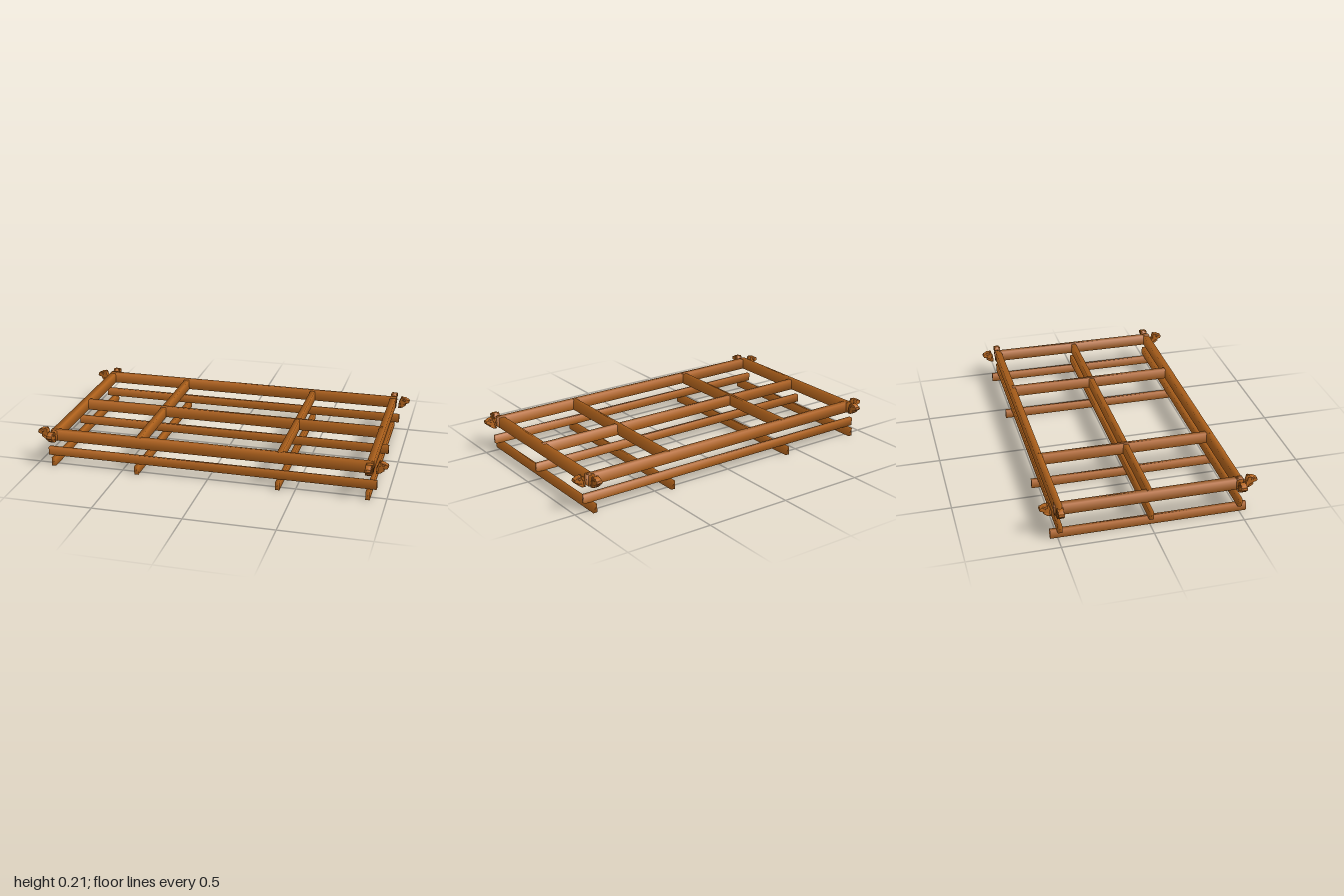
import * as THREE from 'three';
import { mergeVertices, toCreasedNormals } from 'three/addons/utils/BufferGeometryUtils.js';

const wood = new THREE.MeshStandardMaterial({ color: 0xb5651d });

// Box beam with normals shared across its corners for a soft, rounded shading
function beam(name, w, h, d, x, y, z) {
  const box = new THREE.BoxGeometry(w, h, d);
  box.deleteAttribute('normal');
  box.deleteAttribute('uv');
  const geo = mergeVertices(box);
  geo.computeVertexNormals();
  const mesh = new THREE.Mesh(geo, wood);
  mesh.name = name;
  mesh.position.set(x, y, z);
  return mesh;
}

// Side-profile slab: points are (outward, up), thickness is centred on z = offset
function slab(name, points, thickness, offset = 0) {
  const shape = new THREE.Shape(points.map(([x, y]) => new THREE.Vector2(x, y)));
  const bevel = 0.003;
  const geo = new THREE.ExtrudeGeometry(shape, {
    depth: thickness - 2 * bevel, bevelThickness: bevel, bevelSize: bevel,
    bevelOffset: -bevel, bevelSegments: 2,
  });
  geo.translate(0, 0, offset - thickness / 2 + bevel);
  const mesh = new THREE.Mesh(toCreasedNormals(geo, 0.7), wood);
  mesh.name = name;
  return mesh;
}

function knob(name, r, sx, sy, sz, x, y, z) {
  const mesh = new THREE.Mesh(new THREE.SphereGeometry(r, 10, 8), wood);
  mesh.name = name;
  mesh.scale.set(sx, sy, sz);
  mesh.position.set(x, y, z);
  return mesh;
}

// Carved animal head, snout towards +x, back of the neck at x = 0
function carvedHead() {
  const head = new THREE.Group();
  head.name = 'carvedHead';
  head.add(
    slab('skull', [[0, 0.145], [0.016, 0.145], [0.034, 0.157], [0.042, 0.17], [0.056, 0.18],
      [0.058, 0.198], [0.044, 0.209], [0.024, 0.211], [0.01, 0.2], [0.004, 0.18]], 0.03),
    slab('lowerJaw', [[0.012, 0.15], [0.024, 0.149], [0.044, 0.164], [0.042, 0.171], [0.024, 0.168]], 0.035),
    slab('upperLip', [[0.04, 0.176], [0.06, 0.178], [0.066, 0.188], [0.062, 0.199], [0.05, 0.202], [0.04, 0.194]], 0.034),
    slab('collar', [[0, 0.145], [0.008, 0.145], [0.013, 0.172], [0.009, 0.185], [0.003, 0.185]], 0.036),
  );
  for (const s of [-1, 1]) {
    head.add(
      slab('ear', [[0.006, 0.188], [0.016, 0.183], [0.026, 0.2], [0.022, 0.213], [0.012, 0.209]], 0.01, s * 0.014),
      knob('eye', 0.006, 1, 1, 0.7, 0.036, 0.195, s * 0.015),
      knob('brow', 0.008, 1.1, 0.6, 0.8, 0.036, 0.206, s * 0.011),
      knob('nostril', 0.005, 0.8, 0.8, 1, 0.06, 0.196, s * 0.009),
    );
  }
  return head;
}

export function createModel() {
  const model = new THREE.Group();
  model.name = 'timberFrame';
  const zEdge = 0.493, xEdge = 0.9, xInner = 0.405;

  // Upper frame: deep perimeter beams with slimmer beams inside
  const upper = new THREE.Group();
  upper.name = 'upperFrame';
  const yTop = 0.175, hTop = 0.06;
  for (const s of [-1, 1]) {
    upper.add(
      beam('longEdgeBeam', 1.84, hTop, 0.036, 0, yTop, s * zEdge),
      beam('endBeam', 0.036, hTop, 1.03, s * xEdge, yTop, 0),
      beam('innerCrossBeam', 0.03, hTop, 2 * zEdge, s * xInner, yTop, 0),
    );
  }
  upper.add(beam('centreBeam', 2 * xEdge, hTop, 0.03, 0, yTop, 0));

  // Lower frame: long purlins resting on cross sleepers
  const lower = new THREE.Group();
  lower.name = 'lowerFrame';
  for (const z of [-zEdge, 0, zEdge]) lower.add(beam('purlin', 1.885, 0.047, 0.024, 0, 0.0725, z));
  for (const x of [-xEdge, -xInner, xInner, xEdge]) lower.add(beam('sleeper', 0.024, 0.048, 1.08, x, 0.024, 0));

  // Heads at both ends of every perimeter beam
  const heads = new THREE.Group();
  heads.name = 'beamEndHeads';
  for (const sx of [-1, 1]) {
    for (const sz of [-1, 1]) {
      const along = carvedHead();
      along.position.set(sx * 0.934, 0, sz * zEdge);
      along.rotation.y = sx > 0 ? 0 : Math.PI;
      const across = carvedHead();
      across.position.set(sx * xEdge, 0, sz * 0.528);
      across.rotation.y = -sz * Math.PI / 2;
      heads.add(along, across);
    }
  }

  model.add(upper, lower, heads);
  return model;
}
